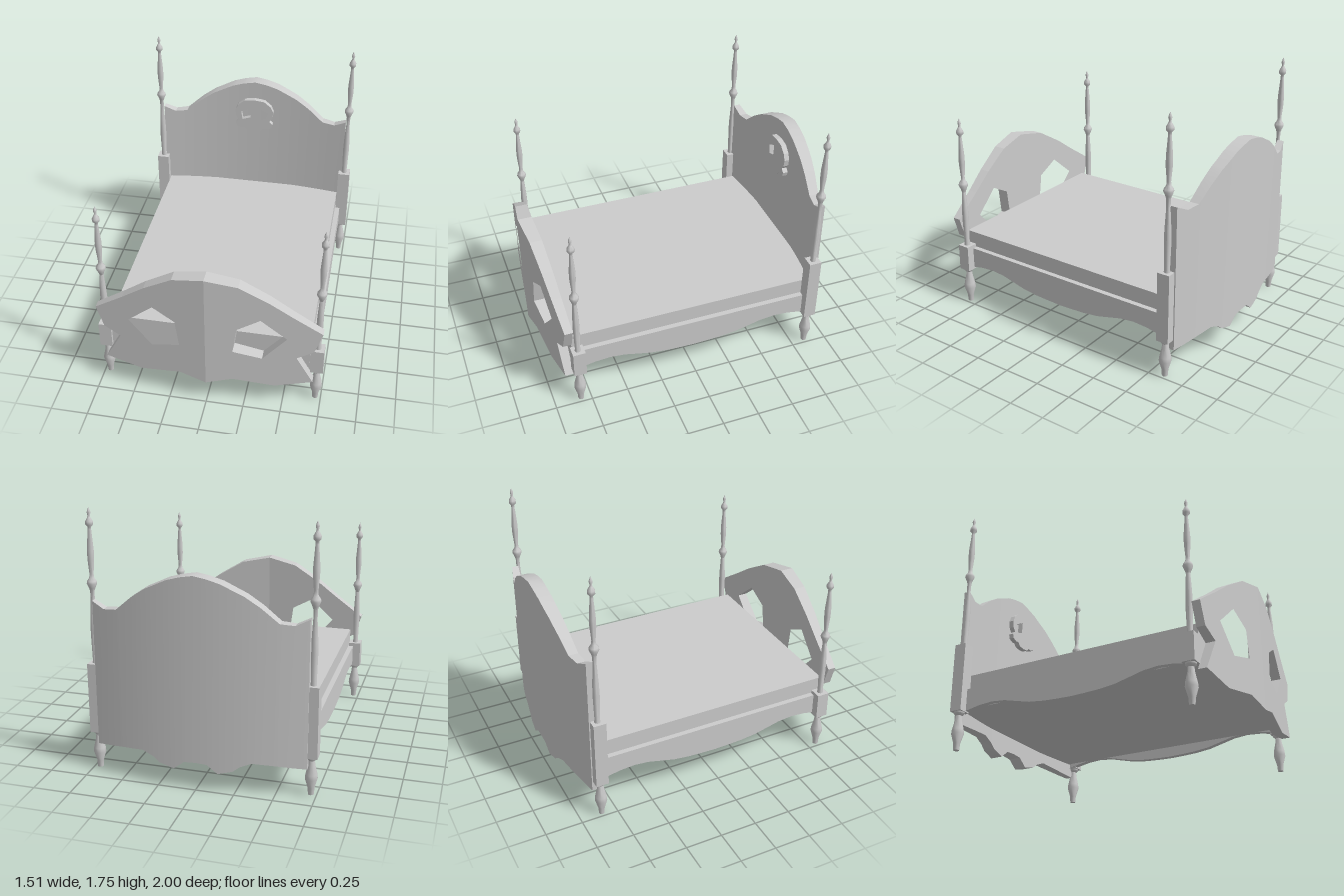
import * as THREE from 'three';
import { toCreasedNormals } from 'three/addons/utils/BufferGeometryUtils.js';

const material = new THREE.MeshStandardMaterial({ color: 0xcccccc });

function add(parent, name, geometry, x = 0, y = 0, z = 0) {
  const mesh = new THREE.Mesh(geometry, material);
  mesh.name = name;
  mesh.position.set(x, y, z);
  parent.add(mesh);
  return mesh;
}

const toPoints = (pairs, sx = 1) => pairs.map(([x, y]) => new THREE.Vector2(x * sx, y));

function extrude(outline, holes, depth, sx = 1) {
  const shape = new THREE.Shape(toPoints(outline, sx));
  holes.forEach(h => shape.holes.push(new THREE.Path(toPoints(h, sx))));
  return new THREE.ExtrudeGeometry(shape, { depth, bevelEnabled: false });
}

// Height of a polyline at x
function heightAt(line, x) {
  for (let i = 1; i < line.length; i++) {
    const [x0, y0] = line[i - 1], [x1, y1] = line[i];
    if (x <= x1 + 1e-6) return y0 + (y1 - y0) * (x - x0) / (x1 - x0);
  }
  return line[line.length - 1][1];
}

// Bowed headboard: rectangular sections lofted from side to side
function headboardGeometry() {
  const top = [[0, 1.405], [0.085, 1.39], [0.17, 1.365], [0.315, 1.295], [0.41, 1.23], [0.52, 1.135], [0.61, 1.125], [0.695, 1.165]];
  const bottom = [[0, 0.19], [0.075, 0.185], [0.145, 0.13], [0.24, 0.155], [0.285, 0.19], [0.36, 0.22], [0.5, 0.21], [0.695, 0.19]];
  const half = [...new Set([...top, ...bottom].map(p => p[0]))].sort((a, b) => a - b);
  const xs = [...half.slice(1).reverse().map(x => -x), ...half];
  const positions = [], index = [];
  xs.forEach((x, i) => {
    const a = Math.abs(x), bow = (x / 0.695) ** 2;
    const front = -0.91 + 0.055 * bow, back = -1 + 0.1 * bow;
    const t = heightAt(top, a), b = heightAt(bottom, a);
    positions.push(x, b, front, x, t, front, x, t, back, x, b, back);
    if (i === 0) return;
    const p = (i - 1) * 4, q = i * 4;
    for (let k = 0; k < 4; k++) {
      const n = (k + 1) % 4;
      index.push(p + k, q + k, q + n, p + k, q + n, p + n);
    }
  });
  const e = (xs.length - 1) * 4;
  index.push(0, 1, 2, 0, 2, 3, e, e + 2, e + 1, e, e + 3, e + 2);
  const g = new THREE.BufferGeometry();
  g.setAttribute('position', new THREE.Float32BufferAttribute(positions, 3));
  g.setIndex(index);
  return toCreasedNormals(g, 0.5);
}

// One half of the footboard, swept back from the centre line
function footboardHalf(side) {
  const outline = [[0, 0.178], [0.175, 0.222], [0.45, 0.175], [0.695, 0.222], [0.585, 0.43], [0.695, 0.49],
    [0.745, 0.64], [0.55, 0.775], [0.4, 0.885], [0.21, 1.0], [0, 1.045]];
  const hole = [[0.52, 0.59], [0.35, 0.74], [0.2, 0.655], [0.175, 0.465], [0.365, 0.415]];
  const g = extrude(outline, [hole], 1, side);
  const p = g.attributes.position;
  for (let i = 0; i < p.count; i++) {
    const k = 1 - Math.abs(p.getX(i)) / 0.745;
    p.setZ(i, p.getZ(i) > 0.5 ? 0.905 + 0.095 * k : 0.85 + 0.055 * k);
  }
  g.computeVertexNormals();
  return g;
}

// Turned post: foot, square block, then shaft with knob and finial
function makePost(name, blockTop, rise) {
  const post = new THREE.Group();
  post.name = name;
  const lathe = pairs => toCreasedNormals(new THREE.LatheGeometry(toPoints(pairs), 10), 0.9);
  add(post, 'foot', lathe([[0, 0], [0.019, 0], [0.022, 0.045], [0.041, 0.11], [0.038, 0.14], [0.024, 0.2], [0.02, 0.235], [0.036, 0.25], [0.036, 0.27]]));
  add(post, 'block', new THREE.BoxGeometry(0.085, blockTop - 0.26, 0.085), 0, (blockTop + 0.26) / 2, 0);
  const upper = [[0.02, 1.2], [0.014, 1.215], [0.02, 1.235], [0.033, 1.265], [0.03, 1.28], [0.016, 1.3], [0.013, 1.325],
    [0.021, 1.42], [0.021, 1.48], [0.011, 1.61], [0.011, 1.625], [0.024, 1.64], [0.024, 1.66], [0.01, 1.685], [0.007, 1.695],
    [0.012, 1.715], [0.008, 1.73], [0, 1.75]].slice(1).map(([r, y]) => [r, y + rise]);
  add(post, 'shaft', lathe([[0.022, blockTop - 0.01], [0.018, blockTop + 0.02], [0.023, blockTop + 0.2],
    [0.021, blockTop + 0.28], [0.013, blockTop + 0.42], ...upper]));
  return post;
}

export function createModel() {
  const bed = new THREE.Group();
  bed.name = 'bed';

  add(bed, 'mattress', new THREE.BoxGeometry(1.33, 0.24, 1.75), 0, 0.41, -0.025);
  add(bed, 'headboard', headboardGeometry());

  // Scalloped rail profile, symmetrical front to back
  const scallop = [[0.1, 0.22], [0.2, 0.225], [0.31, 0.238], [0.42, 0.265], [0.5, 0.285], [0.6, 0.295], [0.7, 0.288], [0.84, 0.262]];
  const rail = [...scallop.slice().reverse().map(([z, y]) => [-z, y]), [0, 0.217], ...scallop, [0.84, 0.42], [-0.84, 0.42]];

  const footboard = new THREE.Group();
  footboard.name = 'footboard';
  bed.add(footboard);
  for (const side of [-1, 1]) {
    const label = side > 0 ? 'left' : 'right';
    add(footboard, label + 'FootboardHalf', footboardHalf(side));
    const railGeometry = extrude(rail, [], 0.04).rotateY(-Math.PI / 2);
    add(bed, label + 'SideRail', railGeometry, side > 0 ? 0.7 : -0.66, 0, 0);
    const frontPost = makePost(label + 'FrontPost', 0.445, -0.365);
    frontPost.position.set(side * 0.713, 0, 0.82);
    const backPost = makePost(label + 'BackPost', 0.735, 0);
    backPost.position.set(side * 0.713, 0, -0.85);
    bed.add(frontPost, backPost);
  }

  // Skull ornament with open eyes on the headboard
  const skullHalf = [[0.075, 1.265], [0.125, 1.225], [0.145, 1.18], [0.138, 1.13], [0.115, 1.1], [0.14, 1.075], [0.132, 1.045],
    [0.095, 1.03], [0.07, 1.035], [0.045, 1.01]];
  const skull = [[0, 1.275], ...skullHalf, [0, 1.005], ...skullHalf.slice().reverse().map(([x, y]) => [-x, y])];
  const eyes = [
    [[0.035, 1.21], [0.105, 1.17], [0.085, 1.12], [0.035, 1.105]],
    [[-0.025, 1.21], [-0.1, 1.17], [-0.09, 1.105], [-0.03, 1.125]],
  ];
  add(bed, 'skullOrnament', extrude(skull, eyes, 0.04), 0, 0, -0.912);

  return bed;
}
